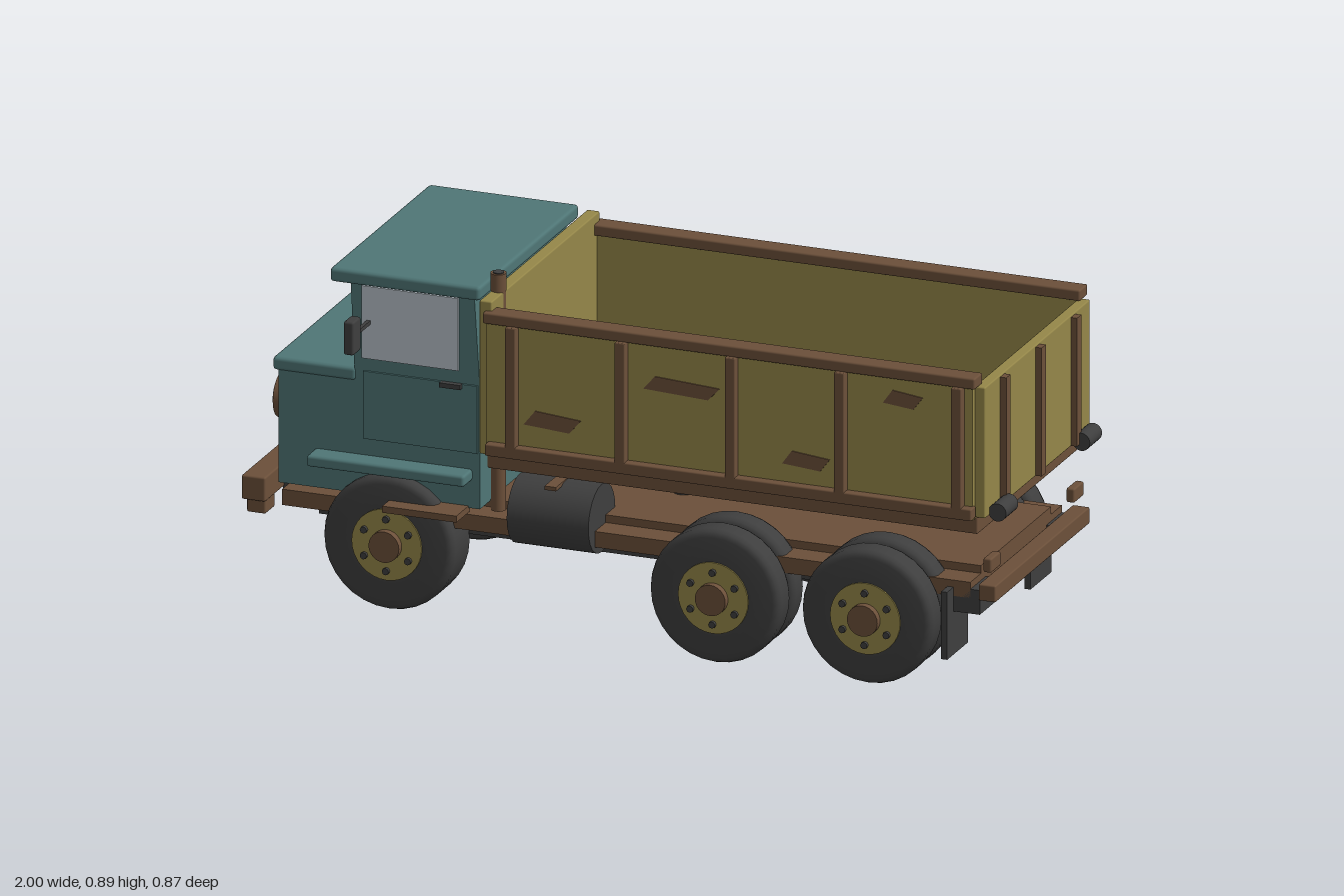
import * as THREE from 'three';
import { RoundedBoxGeometry } from 'three/addons/geometries/RoundedBoxGeometry.js';

const mat = (name, color, side = THREE.FrontSide) => {
  const m = new THREE.MeshStandardMaterial({ color, side });
  m.name = name;
  return m;
};

export function createModel() {
  const teal = mat('cab teal', 0x4f7676);
  const ochre = mat('body ochre', 0x958749);
  const brown = mat('rust brown', 0x6c503a);
  const dark = mat('rubber dark', 0x3e3e3e);
  const glass = mat('window glass', 0xbac3cb);
  const truck = new THREE.Group();
  truck.name = 'dumpTruck';

  const add = (name, geo, m, parent = truck) => {
    const mesh = new THREE.Mesh(geo, m);
    mesh.name = name;
    parent.add(mesh);
    return mesh;
  };
  // box given by its limits on each axis, with an optional bevel
  const box = (name, m, [x0, x1], [y0, y1], [z0, z1], bevel = 0, parent = truck) => {
    const s = [x1 - x0, y1 - y0, z1 - z0];
    const g = bevel ? new RoundedBoxGeometry(...s, 1, bevel) : new THREE.BoxGeometry(...s);
    const mesh = add(name, g, m, parent);
    mesh.position.set((x0 + x1) / 2, (y0 + y1) / 2, (z0 + z1) / 2);
    return mesh;
  };
  // same box on both sides of the truck
  const pair = (name, m, x, y, [z0, z1], bevel = 0) => {
    box(name + 'Left', m, x, y, [z0, z1], bevel);
    box(name + 'Right', m, x, y, [-z1, -z0], bevel);
  };
  // cylinder centred on a point, lying along an axis
  const rod = (name, m, r, len, axis, [x, y, z], parent = truck, seg = 24) => {
    const mesh = add(name, new THREE.CylinderGeometry(r, r, len, seg), m, parent);
    if (axis === 'x') mesh.rotation.z = Math.PI / 2;
    if (axis === 'z') mesh.rotation.x = Math.PI / 2;
    mesh.position.set(x, y, z);
    return mesh;
  };

  // chassis
  box('chassisDeck', brown, [-0.91, 0.9], [0.225, 0.288], [-0.23, 0.23]);
  box('chassisPlate', brown, [-0.91, 0.9], [0.227, 0.268], [-0.3, 0.3]);
  pair('lowerRail', dark, [-0.845, 0.92], [0.187, 0.228], [0.183, 0.22]);
  box('rearBumper', brown, [0.925, 0.97], [0.227, 0.27], [-0.31, 0.31], 0.004);
  pair('rearBracket', dark, [0.85, 0.925], [0.187, 0.25], [0.2, 0.3]);
  pair('mudFlap', dark, [0.84, 0.856], [0.075, 0.25], [0.205, 0.342]);
  pair('tailLamp', brown, [0.935, 0.957], [0.3, 0.337], [0.24, 0.305], 0.005);
  box('frontBumper', brown, [-1, -0.937], [0.245, 0.308], [-0.345, 0.345], 0.005);
  pair('bumperEnd', brown, [-0.99, -0.94], [0.21, 0.26], [0.27, 0.335], 0.005);
  pair('bumperMount', dark, [-0.94, -0.9], [0.235, 0.28], [0.18, 0.22]);
  pair('footBoard', brown, [-0.615, -0.42], [0.273, 0.29], [0.29, 0.38]);

  // tank, hoist and exhaust
  rod('fuelTank', dark, 0.088, 0.215, 'x', [-0.195, 0.288, 0.255]);
  box('tankStrap', brown, [-0.21, -0.18], [0.368, 0.378], [0.195, 0.325]);
  rod('hoist', dark, 0.029, 0.14, 'y', [0.028, 0.35, 0]);
  rod('exhaustPipe', brown, 0.018, 0.6, 'y', [-0.353, 0.58, 0.27]);
  rod('exhaustCap', brown, 0.02, 0.045, 'y', [-0.353, 0.872, 0.27]);
  rod('exhaustOpening', dark, 0.014, 0.004, 'y', [-0.353, 0.895, 0.27]);

  // wheels and axles
  const tyreGeo = (w) => new THREE.LatheGeometry([
    [0.085, -w / 2], [0.155, -w / 2], [0.168, -w / 2 + 0.008], [0.173, -w / 2 + 0.02],
    [0.173, w / 2 - 0.02], [0.168, w / 2 - 0.008], [0.155, w / 2], [0.085, w / 2],
  ].map((p) => new THREE.Vector2(...p)), 32).rotateX(Math.PI / 2);
  const darkBoth = mat('rubber dark', 0x3e3e3e, THREE.DoubleSide);

  const wheel = (name, x, side, tyres, face) => {
    const g = new THREE.Group();
    g.name = name;
    for (const [z0, z1] of tyres) {
      add('tyre', tyreGeo(z1 - z0), darkBoth, g).position.z = (z0 + z1) / 2;
      rod('rimCore', dark, 0.09, z1 - z0 - 0.02, 'z', [0, 0, (z0 + z1) / 2], g);
    }
    rod('wheelDisc', ochre, 0.092, 0.02, 'z', [0, 0, face - 0.006], g, 32);
    rod('hubCap', brown, 0.04, 0.03, 'z', [0, 0, face + 0.008], g);
    for (let i = 0; i < 6; i++) {
      const a = (i / 6) * Math.PI * 2 + Math.PI / 6;
      rod('wheelNut', dark, 0.009, 0.014, 'z',
        [Math.cos(a) * 0.067, Math.sin(a) * 0.067, face + 0.006], g, 8);
    }
    g.position.set(x, 0.175, 0);
    if (side < 0) g.rotation.y = Math.PI;
    truck.add(g);
  };
  const axles = [
    ['front', -0.62, [[0.205, 0.335]], 0.335],
    ['middle', 0.263, [[0.222, 0.302], [0.31, 0.396]], 0.396],
    ['rear', 0.663, [[0.222, 0.302], [0.31, 0.396]], 0.396],
  ];
  for (const [name, x, tyres, face] of axles) {
    wheel(name + 'WheelLeft', x, 1, tyres, face);
    wheel(name + 'WheelRight', x, -1, tyres, face);
    rod(name + 'Axle', dark, 0.032, 0.5, 'z', [x, 0.177, 0]);
    rod(name + 'Differential', brown, 0.055, 0.126, 'z', [x, 0.167, 0]);
    pair(name + 'Spring', brown, [x - 0.06, x + 0.06], [0.148, 0.165], [0.175, 0.2]);
  }

  // cab shell from its side outline
  const outline = new THREE.Shape([
    [-0.92, 0.285], [-0.39, 0.285], [-0.39, 0.6], [-0.405, 0.84], [-0.73, 0.84],
    [-0.72, 0.605], [-0.92, 0.605],
  ].map((p) => new THREE.Vector2(...p)));
  add('cabShell', new THREE.ExtrudeGeometry(outline, { depth: 0.6, bevelEnabled: false }), teal)
    .position.z = -0.3;
  box('roof', teal, [-0.775, -0.38], [0.833, 0.87], [-0.328, 0.328], 0.01);
  box('hoodLid', teal, [-0.935, -0.715], [0.575, 0.61], [-0.305, 0.305], 0.01);
  pair('sideStep', teal, [-0.825, -0.41], [0.356, 0.386], [0.29, 0.357], 0.008);
  pair('door', teal, [-0.695, -0.395], [0.43, 0.605], [0.3, 0.306]);
  pair('sideWindow', glass, [-0.7, -0.445], [0.638, 0.826], [0.3, 0.305]);
  pair('doorHandle', dark, [-0.49, -0.435], [0.594, 0.606], [0.302, 0.318]);
  pair('windscreen', glass, [-0.737, -0.725], [0.645, 0.822], [0.015, 0.275]);
  for (const s of [-1, 1]) {
    const wiper = box('wiper', dark, [-0.746, -0.738], [0.655, 0.664], [-0.08, 0.08]);
    wiper.position.z = s * 0.13;
    wiper.rotation.x = -0.35;
  }

  // grille and headlamps
  box('grille', dark, [-0.928, -0.918], [0.37, 0.525], [-0.145, 0.145]);
  for (let i = 0; i < 5; i++) {
    const y = 0.385 + i * 0.031;
    box('grilleSlat', dark, [-0.938, -0.925], [y - 0.007, y + 0.007], [-0.14, 0.14]);
  }
  for (const z of [-0.22, 0.22]) {
    rod('headlampRim', brown, 0.058, 0.028, 'x', [-0.93, 0.485, z]);
    rod('headlampLens', glass, 0.046, 0.008, 'x', [-0.945, 0.485, z]);
  }

  // mirrors
  box('mirrorLeft', dark, [-0.695, -0.668], [0.69, 0.777], [0.385, 0.437], 0.006);
  box('mirrorRight', brown, [-0.695, -0.668], [0.69, 0.777], [-0.437, -0.385], 0.006);
  pair('mirrorArm', dark, [-0.686, -0.676], [0.728, 0.738], [0.3, 0.39]);

  // tipper body
  box('bodyFloor', brown, [-0.355, 0.935], [0.41, 0.455], [-0.34, 0.34], 0.004);
  box('headboard', ochre, [-0.37, -0.337], [0.45, 0.848], [-0.355, 0.355], 0.004);
  box('tailgate', ochre, [0.927, 0.957], [0.455, 0.795], [-0.345, 0.345], 0.004);
  pair('sidePanel', ochre, [-0.35, 0.93], [0.452, 0.8], [0.335, 0.36]);
  pair('topRail', brown, [-0.355, 0.94], [0.795, 0.824], [0.318, 0.372], 0.005);
  pair('bottomRail', brown, [-0.345, 0.935], [0.457, 0.488], [0.35, 0.383], 0.004);
  for (const x of [-0.278, 0.01, 0.3, 0.587, 0.895])
    pair('sideRib', brown, [x - 0.0135, x + 0.0135], [0.46, 0.797], [0.355, 0.383], 0.003);
  for (const z of [-0.232, 0, 0.232])
    box('tailgateRib', brown, [0.955, 0.973], [0.457, 0.79], [z - 0.014, z + 0.014]);
  for (const z of [-0.275, 0.275])
    rod('tailgateHinge', dark, 0.023, 0.08, 'z', [0.977, 0.464, z]);

  // slanted rust patches on the side panels: x, y, width, height, lean
  const patches = [
    [-0.25, 0.545, 0.12, 0.038, 0.03], [0.065, 0.68, 0.17, 0.035, 0.03],
    [0.43, 0.535, 0.1, 0.035, 0.025], [0.695, 0.728, 0.08, 0.035, 0.025],
  ];
  for (const [x, y, w, h, lean] of patches) {
    const shape = new THREE.Shape([
      [x, y], [x + w, y - 0.008], [x + w + lean, y + h - 0.01], [x + lean, y + h],
    ].map((p) => new THREE.Vector2(...p)));
    const geo = new THREE.ExtrudeGeometry(shape, { depth: 0.004, bevelEnabled: false });
    add('rustPatchLeft', geo, brown).position.z = 0.359;
    add('rustPatchRight', geo, brown).position.z = -0.363;
  }
  return truck;
}
